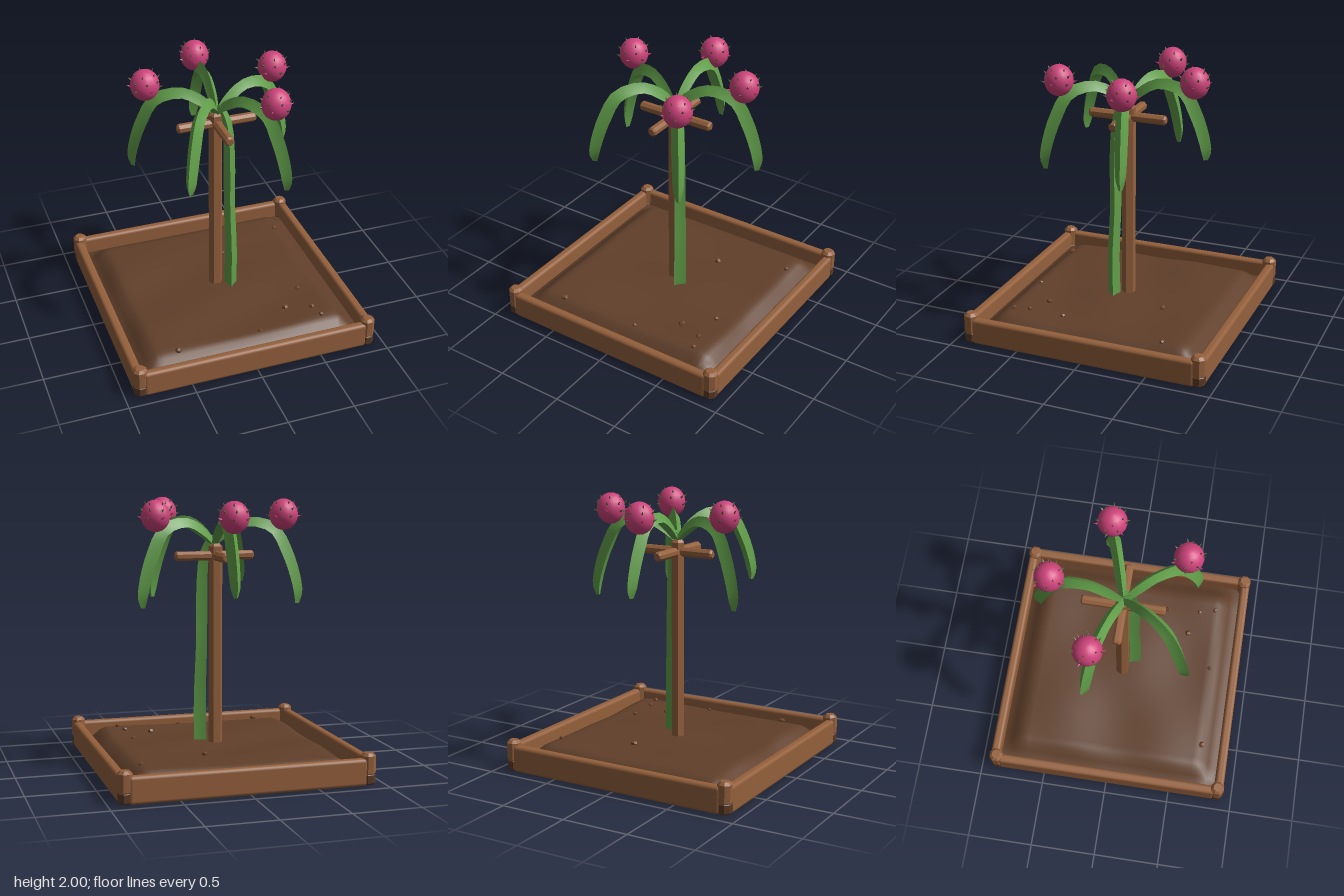
import * as THREE from 'three';
import { toCreasedNormals } from 'three/addons/utils/BufferGeometryUtils.js';
import { RoundedBoxGeometry } from 'three/addons/geometries/RoundedBoxGeometry.js';

const V = (x, y, z) => new THREE.Vector3(x, y, z);

// Bevelled wooden bar along y, with a given number of sides
function barGeometry(radius, y0, y1, sides, bevel, phi = 0) {
  const pts = [[0, y0], [radius - bevel, y0], [radius, y0 + bevel], [radius, y1 - bevel], [radius - bevel, y1], [0, y1]];
  const geo = new THREE.LatheGeometry(pts.map(p => new THREE.Vector2(...p)), sides, phi);
  return toCreasedNormals(geo, 0.4);
}

// Three-ribbed cactus limb swept along a path; dir is its horizontal heading
function limbGeometry(points, radii, dir, steps) {
  const curve = new THREE.CatmullRomCurve3(points);
  const side = V(dir.z, 0, -dir.x).normalize();
  const pos = [], idx = [], n = 6;
  for (let i = 0; i <= steps; i++) {
    const u = i / steps, p = curve.getPoint(u), t = curve.getTangent(u);
    const normal = t.clone().cross(side).normalize();
    const f = u * (radii.length - 1), k = Math.min(Math.floor(f), radii.length - 2);
    const r = THREE.MathUtils.lerp(radii[k], radii[k + 1], f - k);
    for (let j = 0; j < n; j++) {
      const a = Math.PI / 2 + j * Math.PI / 3, rr = j % 2 ? r * 0.42 : r;
      const q = p.clone().addScaledVector(side, rr * Math.cos(a)).addScaledVector(normal, rr * Math.sin(a));
      pos.push(q.x, q.y, q.z);
    }
  }
  for (let i = 0; i < steps; i++) for (let j = 0; j < n; j++) {
    const a = i * n + j, b = i * n + (j + 1) % n;
    idx.push(a, b, b + n, a, b + n, a + n);
  }
  // End caps
  const first = curve.getPoint(0), last = curve.getPoint(1), c = (steps + 1) * n;
  pos.push(first.x, first.y, first.z, last.x, last.y, last.z);
  for (let j = 0; j < n; j++) {
    const k = (j + 1) % n, e = steps * n;
    idx.push(c, k, j, c + 1, e + j, e + k);
  }
  const geo = new THREE.BufferGeometry();
  geo.setAttribute('position', new THREE.Float32BufferAttribute(pos, 3));
  geo.setIndex(idx);
  return toCreasedNormals(geo, 0.6);
}

// Soil height: gently rolling bed that falls off at the frame
function soilHeight(x, z) {
  const edge = s => 1 - THREE.MathUtils.smoothstep(Math.abs(s), 0.7, 0.86);
  const roll = 0.008 * Math.sin(x * 5 + 1) * Math.cos(z * 6) + 0.006 * Math.sin(z * 9 + x * 3);
  return 0.07 + (0.1 + roll) * edge(x) * edge(z);
}

export function createModel() {
  const model = new THREE.Group();
  const mat = (name, color, side = THREE.FrontSide) => {
    const m = new THREE.MeshStandardMaterial({ color, side });
    m.name = name;
    return m;
  };
  const wood = mat('wood', 0x94603c);
  const darkWood = mat('darkWood', 0x5a3a26);
  const earth = mat('soil', 0x603f2a, THREE.DoubleSide);
  const stone = mat('pebble', 0x6e4529);
  const green = mat('cactusGreen', 0x62a04a);
  const pink = mat('fruitPink', 0xcf437b);
  const spikeGreen = mat('spikeGreen', 0x4f6a35);
  const add = (name, geo, material, parent = model) => {
    const m = new THREE.Mesh(geo, material);
    m.name = name;
    parent.add(m);
    return m;
  };

  // Planter frame
  const railGeo = new RoundedBoxGeometry(1.72, 0.198, 0.07, 2, 0.025);
  const postTop = barGeometry(0.054, 0.07, 0.235, 8, 0.02, Math.PI / 8);
  const postFoot = barGeometry(0.053, 0.008, 0.09, 8, 0.012, Math.PI / 8);
  for (let i = 0; i < 4; i++) {
    const a = i * Math.PI / 2;
    const rail = add('rail', railGeo, wood);
    rail.position.set(0.89 * Math.sin(a), 0.1, 0.89 * Math.cos(a));
    rail.rotation.y = a;
    const x = i % 2 ? 0.878 : -0.878, z = i < 2 ? 0.878 : -0.878;
    add('cornerPost', postTop, wood).position.set(x, 0, z);
    add('cornerPostFoot', postFoot, darkWood).position.set(x, 0, z);
  }

  // Soil bed
  const soil = new THREE.PlaneGeometry(1.74, 1.74, 40, 40).rotateX(-Math.PI / 2);
  const sp = soil.attributes.position;
  for (let i = 0; i < sp.count; i++) sp.setY(i, soilHeight(sp.getX(i), sp.getZ(i)));
  soil.computeVertexNormals();
  add('soil', soil, earth);

  // Pebbles: x, z, radius
  const pebbles = [[-0.54, 0.71, 0.025], [0.1, 0.69, 0.017], [0.57, 0.55, 0.02], [0.6, 0.67, 0.02],
    [0.56, 0.29, 0.02], [0.38, 0.48, 0.025], [0.17, -0.35, 0.025], [0.69, -0.54, 0.02]];
  const pebbleGeo = toCreasedNormals(new THREE.DodecahedronGeometry(1), 0.1);
  pebbles.forEach(([x, z, r], i) => {
    const p = add('pebble', pebbleGeo, stone);
    p.position.set(x, soilHeight(x, z) + r * 0.3, z);
    p.scale.set(r, r * 0.8, r);
    p.rotation.y = i;
  });

  // Support pole and crossbars
  add('supportPole', barGeometry(0.053, 0.12, 1.67, 6, 0.02, Math.PI / 6), wood).position.set(-0.008, 0, -0.006);
  const barGeo = barGeometry(0.036, -0.3, 0.3, 8, 0.012, Math.PI / 8);
  const barX = add('crossbar', barGeo, wood);
  barX.position.set(0, 1.58, -0.005);
  barX.rotation.z = Math.PI / 2;
  const barZ = add('crossbar', barGeo, wood);
  barZ.position.set(-0.005, 1.58, 0);
  barZ.rotation.x = Math.PI / 2;

  // Main cactus stem
  const stem = [V(0.088, 0.12, 0.076), V(0.09, 0.5, 0.08), V(0.08, 0.9, 0.066), V(0.076, 1.25, 0.07),
    V(0.062, 1.58, 0.055), V(0.02, 1.73, 0.015)];
  add('stem', limbGeometry(stem, [0.055, 0.052, 0.048, 0.05, 0.042, 0.025], V(1, 0, 1), 16), green);

  // Drooping branches: tip x, tip z, raise of the tip
  const profile = [[0, 1.66], [0.11, 1.755], [0.25, 1.82], [0.43, 1.775], [0.525, 1.61], [0.585, 1.44], [0.612, 1.31], [0.61, 1.23]];
  const radii = [0.025, 0.045, 0.045, 0.052, 0.054, 0.05, 0.043, 0.018];
  const tips = [[-0.58, -0.2, 0], [0.58, -0.18, 0], [0.35, 0.49, 0], [-0.37, 0.5, 0.1], [0.02, -0.61, 0.1]];
  for (const [x, z, lift] of tips) {
    const dir = V(x, 0, z).normalize();
    const path = profile.map(([r, y], i) => V(dir.x * r, y + lift * Math.min(1, i / 7), dir.z * r));
    add('branch', limbGeometry(path, radii, dir, 18), green);
  }

  // Spiked fruits
  const fruitGeo = new THREE.SphereGeometry(0.106, 16, 12).scale(1, 1.09, 1);
  const spikeGeo = toCreasedNormals(new THREE.ConeGeometry(0.012, 0.045, 4), 0.3);
  const rings = [[0.85, 5], [0.4, 7], [-0.1, 6]];
  for (const [x, z] of [[-0.48, -0.17], [0.48, -0.15], [0.29, 0.41], [0.005, -0.515]]) {
    const fruit = new THREE.Group();
    fruit.name = 'fruit';
    fruit.position.set(x, 1.885, z);
    model.add(fruit);
    add('fruitBody', fruitGeo, pink, fruit);
    rings.forEach(([lat, count], r) => {
      for (let i = 0; i < count; i++) {
        const a = (i + r * 0.4) / count * Math.PI * 2 + x;
        const out = V(Math.cos(lat) * Math.cos(a), Math.sin(lat), Math.cos(lat) * Math.sin(a));
        const s = add('spike', spikeGeo, r === 2 && i % 2 ? pink : spikeGreen, fruit);
        s.position.copy(out).multiplyScalar(0.112);
        s.quaternion.setFromUnitVectors(V(0, 1, 0), out.add(V(0, 0.5, 0)).normalize());
      }
    });
  }
  return model;
}
